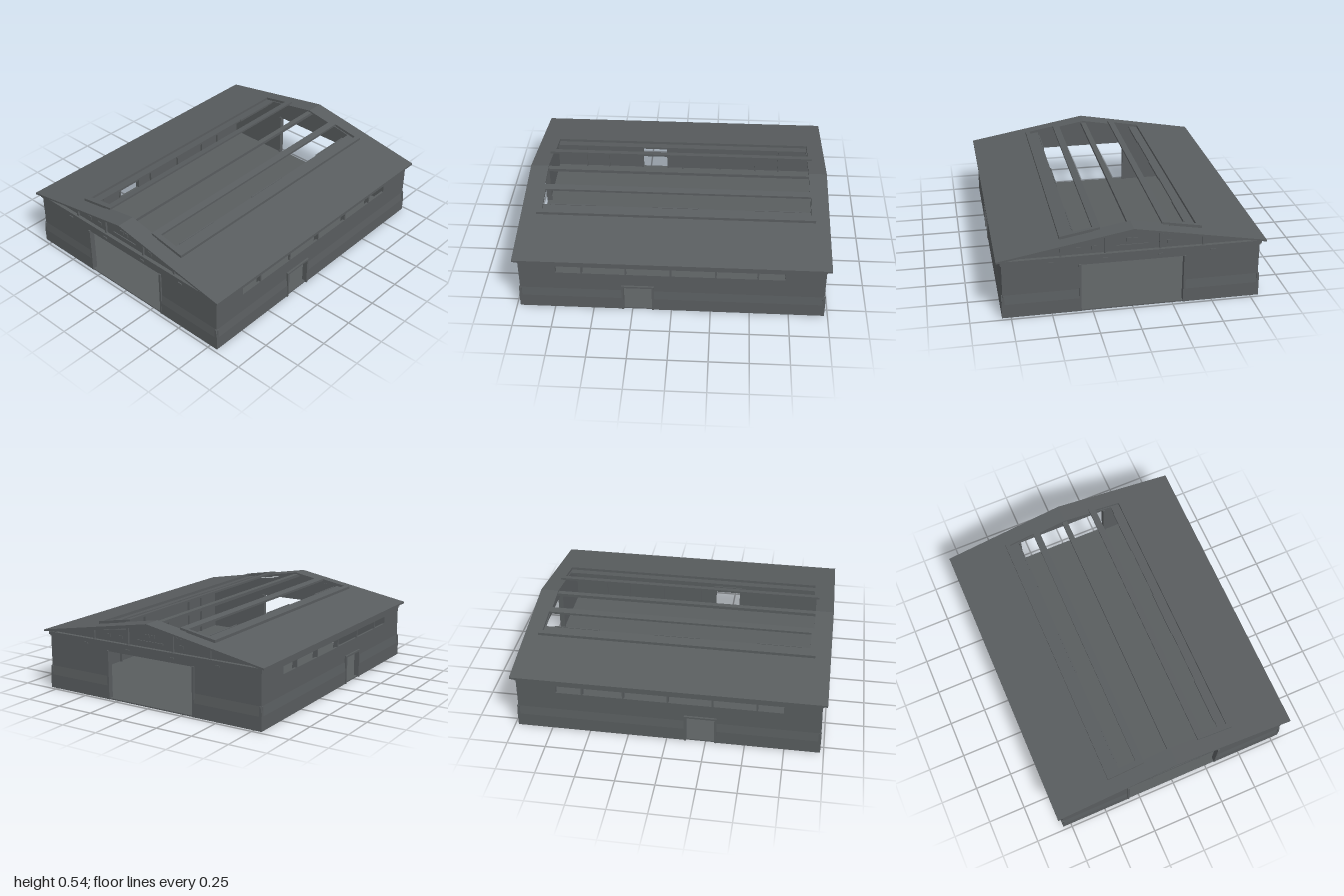
import * as THREE from 'three';

const paint = new THREE.MeshStandardMaterial({ color: 0x595d5f });
paint.name = 'slate grey';

// Height of the roof surface at a given x
const roofY = x => 0.54 - 0.177 * Math.abs(x);

function add(parent, name, geometry) {
  const mesh = new THREE.Mesh(geometry, paint);
  mesh.name = name;
  parent.add(mesh);
  return mesh;
}

// Box given by its limits
function box(parent, name, x0, x1, y0, y1, z0, z1) {
  const g = new THREE.BoxGeometry(Math.abs(x1 - x0), y1 - y0, Math.abs(z1 - z0));
  return add(parent, name, g.translate((x0 + x1) / 2, (y0 + y1) / 2, (z0 + z1) / 2));
}

const polygon = pts => new THREE.Shape(pts.map(p => new THREE.Vector2(...p)));
const rect = (x0, x1, y0, y1) => polygon([[x0, y0], [x1, y0], [x1, y1], [x0, y1]]);

// Profile in x and y, drawn out from z0 to z1
function prism(parent, name, shape, z0, z1) {
  const g = new THREE.ExtrudeGeometry(shape, { depth: z1 - z0, bevelEnabled: false });
  return add(parent, name, g.translate(0, 0, z0));
}

// Slab following the roof slope on side s
function slab(parent, name, s, x0, x1, z0, z1, lift, thick) {
  const pts = [
    [s * x0, roofY(x0) + lift], [s * x1, roofY(x1) + lift],
    [s * x1, roofY(x1) + lift - thick], [s * x0, roofY(x0) + lift - thick],
  ];
  return prism(parent, name, polygon(pts), z0, z1);
}

// Flared foot of a wall: profile points outward along x, runs along z
function plinth(parent, length) {
  const pts = [[-0.01, 0], [0.008, 0], [0.008, 0.09], [0, 0.15], [-0.01, 0.15]];
  return prism(parent, 'wallPlinth', polygon(pts), -length / 2, length / 2);
}

function buildSide(s) {
  const side = new THREE.Group();
  side.name = s > 0 ? 'leftSide' : 'rightSide';
  // Long wall with side door notch and window strip
  const shape = polygon([
    [-0.97, 0], [0.12, 0], [0.12, 0.185], [0.31, 0.185], [0.31, 0],
    [0.97, 0], [0.97, 0.39], [-0.97, 0.39],
  ]);
  const posts = [-0.72, -0.545, -0.28, 0.005, 0.29, 0.57, 0.74];
  for (let i = 0; i < posts.length - 1; i++) {
    shape.holes.push(rect(posts[i] + 0.005, posts[i + 1] - 0.005, 0.28, 0.33));
  }
  const g = new THREE.ExtrudeGeometry(shape, { depth: 0.015, bevelEnabled: false });
  g.rotateY(-Math.PI / 2).translate(s > 0 ? 0.797 : -0.782, 0, 0);
  add(side, 'sideWall', g);

  // Plinths either side of the door
  for (const [z0, z1] of [[-0.978, 0.12], [0.31, 0.978]]) {
    const foot = plinth(side, z1 - z0);
    foot.position.set(s * 0.797, 0, (z0 + z1) / 2);
    if (s < 0) foot.rotation.y = Math.PI;
  }
  // Door frame
  for (const z of [0.118, 0.312]) box(side, 'doorJamb', s * 0.775, s * 0.81, 0, 0.192, z - 0.007, z + 0.007);
  box(side, 'doorHead', s * 0.775, s * 0.81, 0.18, 0.192, 0.111, 0.319);
  // Eave bands
  box(side, 'eaveBand', s * 0.79, s * 0.806, 0.36, 0.378, -0.978, 0.978);
  box(side, 'lowerBand', s * 0.79, s * 0.801, 0.35, 0.36, -0.974, 0.974);
  // Inner wall posts
  for (const z of [-0.72, -0.545, -0.28, 0.005, 0.57, 0.74]) {
    box(side, 'wallPost', s * 0.765, s * 0.785, 0, 0.38, z - 0.005, z + 0.005);
  }

  // Roof slope around the central opening
  slab(side, 'roofSlope', s, 0.35, 0.83, -0.88, 0.88, 0, 0.012);
  for (const e of [-1, 1]) {
    slab(side, 'roofEnd', s, 0, 0.83, e > 0 ? 0.88 : -1, e > 0 ? 1 : -0.88, 0, 0.012);
  }
  // Raised frame of the roof opening
  const frame = new THREE.Group();
  frame.name = 'skylightFrame';
  side.add(frame);
  slab(frame, 'outerRail', s, 0.41, 0.44, -0.91, 0.9, 0.02, 0.018);
  slab(frame, 'innerRail', s, 0.19, 0.235, -0.91, 0.9, 0.02, 0.014);
  slab(frame, 'backRail', s, 0.235, 0.41, -0.91, -0.885, 0.02, 0.018);
  slab(frame, 'frontRail', s, 0.235, 0.41, 0.865, 0.9, 0.02, 0.018);
  for (const z of [-0.67, 0, 0.67]) {
    slab(frame, 'latch', s, 0.345, 0.352, z - 0.15, z + 0.15, 0.003, 0.015);
  }
  return side;
}

// End wall with the large gate and gable, built facing +z
function buildEnd(name) {
  const end = new THREE.Group();
  end.name = name;
  prism(end, 'endWall', polygon([
    [-0.797, 0], [-0.325, 0], [-0.325, 0.315], [0.325, 0.315], [0.325, 0],
    [0.797, 0], [0.797, 0.375], [-0.797, 0.375],
  ]), 0.955, 0.97);

  // Gable sheet with narrow vents under the rafters
  const gable = polygon([
    [-0.8, 0.37], [0.8, 0.37], [0.8, roofY(0.8) - 0.008], [0, 0.532], [-0.8, roofY(0.8) - 0.008],
  ]);
  for (const s of [-1, 1]) {
    const lo = roofY(0.37) - 0.027, hi = roofY(0.19) - 0.027;
    gable.holes.push(polygon([
      [s * 0.19, hi], [s * 0.37, lo], [s * 0.37, lo - 0.004], [s * 0.19, hi - 0.007],
    ]));
  }
  prism(end, 'gable', gable, 0.945, 0.955);

  for (const s of [-1, 1]) {
    slab(end, 'rafter', s, 0, 0.8, 0.955, 0.972, -0.01, 0.015);
    for (const x of [0.17, 0.44]) {
      box(end, 'gablePost', s * x - 0.006, s * x + 0.006, 0.375, roofY(x) - 0.02, 0.953, 0.968);
    }
    // Plinth and gate jamb
    const foot = plinth(end, 0.48);
    foot.rotation.y = -Math.PI / 2;
    foot.position.set(s * 0.565, 0, 0.97);
    box(end, 'gateJamb', s * 0.318, s * 0.332, 0, 0.32, 0.945, 0.98);
    for (const x of [0.17, 0.5]) box(end, 'lamp', s * x - 0.015, s * x + 0.015, 0.343, 0.352, 0.968, 0.98);
  }
  // Cornice bands
  box(end, 'cornice', -0.806, 0.806, 0.36, 0.38, 0.95, 0.979);
  box(end, 'lowerBand', -0.795, 0.795, 0.35, 0.36, 0.95, 0.974);
  // Small plates on the gable
  for (const [x, y] of [[-0.33, 0.417], [-0.235, 0.417], [0.228, 0.417], [-0.025, 0.452], [0.017, 0.452]]) {
    box(end, 'gablePlate', x - 0.015, x + 0.015, y - 0.011, y + 0.011, 0.954, 0.96);
  }
  box(end, 'gableBar', -0.1, 0.095, 0.41, 0.42, 0.954, 0.961);
  return end;
}

export function createModel() {
  const hangar = new THREE.Group();
  hangar.name = 'hangar';
  box(hangar, 'floor', -0.8, 0.8, 0, 0.008, -0.975, 0.975);
  hangar.add(buildSide(1), buildSide(-1));
  const back = buildEnd('backEnd');
  back.rotation.y = Math.PI;
  hangar.add(buildEnd('frontEnd'), back);
  // Beam along the ridge across the opening
  box(hangar, 'ridgeBeam', -0.018, 0.018, 0.508, 0.528, -0.9, 0.9);
  return hangar;
}
